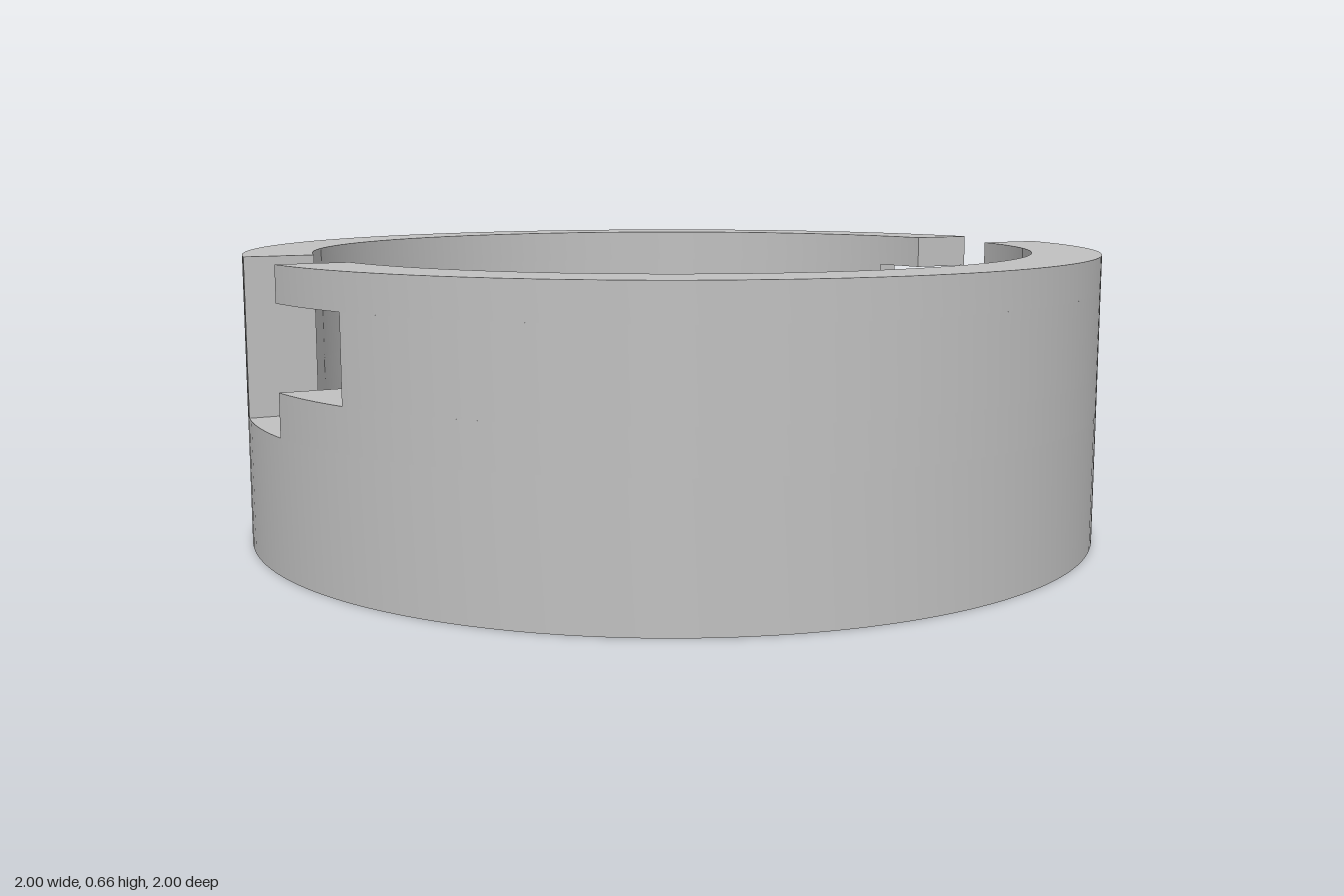
import * as THREE from 'three';
import { toCreasedNormals } from 'three/addons/utils/BufferGeometryUtils.js';

const OUTER = 1, INNER = 0.845, HOLE = 0.408;
const FLOOR = 0.074, SLOT_Y = 0.3, POCKET_Y = 0.395, LIP_Y = 0.58, TOP = 0.66;
const SLOT = 0.1414;                          // half width of the slot
const POCKET_END = 0.38, POCKET_FLOOR = 0.8;  // limits of the side pocket

// Half ring in plan, from the slot on +x round to the slot on -x
function halfRing(withPocket) {
  const outA = Math.asin(SLOT / OUTER), inA = Math.asin(SLOT / INNER);
  const startOut = withPocket ? Math.asin(POCKET_END / OUTER) : outA;
  const startIn = withPocket ? Math.acos(POCKET_FLOOR / INNER) : inA;
  const s = new THREE.Shape();
  s.absarc(0, 0, OUTER, startOut, Math.PI - outA, false);
  s.absarc(0, 0, INNER, Math.PI - inA, startIn, true);
  if (withPocket) s.lineTo(POCKET_FLOOR, POCKET_END);
  s.closePath();
  return s;
}

// Upright band of half ring between two heights
function band(withPocket, y0, y1) {
  const g = new THREE.ExtrudeGeometry(halfRing(withPocket), {
    depth: y1 - y0, bevelEnabled: false, curveSegments: 64,
  });
  g.rotateX(-Math.PI / 2);
  g.translate(0, y0, 0);
  return toCreasedNormals(g, 0.5);
}

export function createModel() {
  const model = new THREE.Group();
  model.name = 'slottedCollar';
  const grey = new THREE.MeshStandardMaterial({ color: 0xc0c0c0 });
  grey.name = 'grey';
  const add = (parent, name, geometry) => {
    const mesh = new THREE.Mesh(geometry, grey);
    mesh.name = name;
    parent.add(mesh);
  };

  // Cup with a holed floor, up to the bottom of the slots
  const profile = [
    [HOLE, 0], [OUTER, 0], [OUTER, SLOT_Y], [INNER, SLOT_Y],
    [INNER, FLOOR], [HOLE, FLOOR], [HOLE, 0],
  ].map(([r, y]) => new THREE.Vector2(r, y));
  add(model, 'cup', toCreasedNormals(new THREE.LatheGeometry(profile, 128), 0.5));

  // Two wall halves, each with a pocket opening off its slot
  const bands = [
    ['lowerWall', band(false, SLOT_Y, POCKET_Y)],
    ['pocketWall', band(true, POCKET_Y, LIP_Y)],
    ['upperLip', band(false, LIP_Y, TOP)],
  ];
  for (let i = 0; i < 2; i++) {
    const half = new THREE.Group();
    half.name = i ? 'frontWall' : 'backWall';
    half.rotation.y = Math.PI / 4 + i * Math.PI;
    for (const [name, geometry] of bands) add(half, name, geometry);
    model.add(half);
  }
  return model;
}
